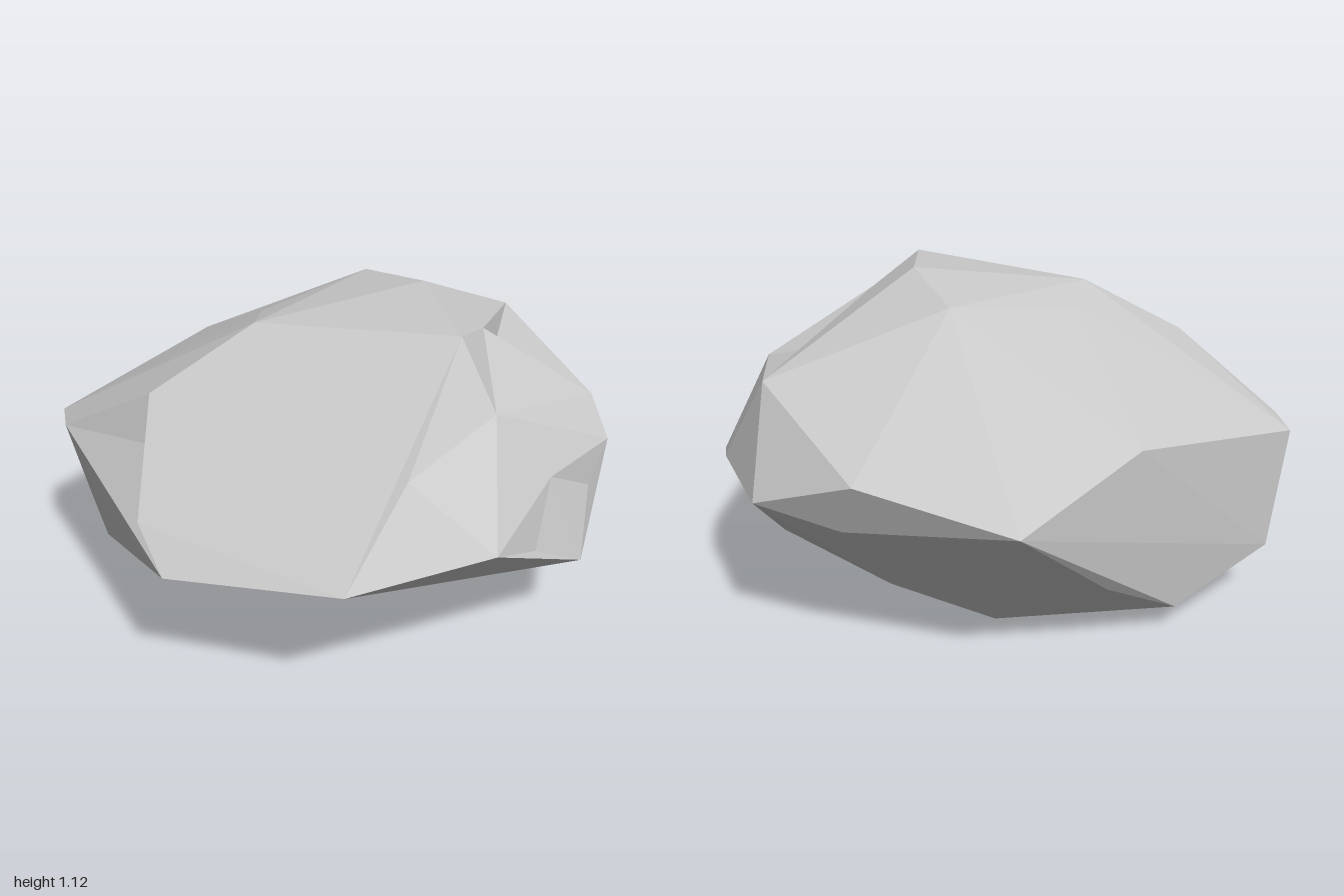
import * as THREE from 'three';
import { ConvexGeometry } from 'three/addons/geometries/ConvexGeometry.js';

const v = (x, y, z) => new THREE.Vector3(x, y, z);

// Outer corners that border the chipped areas
const frontPeak = v(0.33, 1.09, 0.43), leftPeak = v(-0.3, 1.05, 0.12);
const rightPeak = v(0.47, 1.01, 0.17), rightBack = v(0.74, 0.85, -0.48);
const rightFront = v(0.88, 0.74, 0.17), rightEdge = v(0.91, 0.62, 0.29);
const noseLeft = v(-0.12, 0.54, 1), noseTop = v(0.15, 0.65, 0.99), noseRight = v(0.35, 0.58, 0.91);
const cheek = v(0.76, 0.29, 0.54), heel = v(0.8, 0.18, 0.28), chin = v(0.1, 0.27, 0.58);
const leftTop = v(-0.66, 0.85, 0.2), leftEdge = v(-0.98, 0.62, -0.07);
const leftFront = v(-0.71, 0.58, 0.57), leftNose = v(-0.64, 0.48, 0.74);

const outerCorners = [
  frontPeak, leftPeak, rightPeak, rightBack, rightFront, rightEdge, noseLeft, noseTop,
  noseRight, cheek, heel, chin, leftTop, leftEdge, leftFront, leftNose,
  // crown
  v(0.3, 1.12, -0.02), v(0.15, 1.06, -0.35), v(-0.26, 1, -0.12),
  // girdle
  v(1, 0.46, -0.08), v(0.92, 0.54, -0.35), v(0.74, 0.53, -0.71), v(0.4, 0.66, -0.88),
  v(-0.09, 0.56, -1), v(-0.45, 0.72, -0.71), v(-1, 0.61, -0.23),
  // underside
  v(0.78, 0.18, -0.18), v(0.8, 0.36, -0.35), v(0.34, 0.18, -0.57), v(0.45, 0.48, -0.8),
  v(0, 0.02, -0.51), v(-0.07, 0, 0.15), v(-0.6, 0.09, -0.53), v(-0.36, 0.25, -0.71),
  v(-0.57, 0.13, 0.18), v(-0.94, 0.2, -0.28), v(-0.86, 0.23, 0.06), v(-0.85, 0.43, 0.2),
  v(-0.31, 0.29, 0.57),
];

// Inner corners of the chips
const brow = v(0.1, 0.78, 0.78), hollow = v(0.43, 0.86, 0.53), ledge = v(0.63, 0.62, 0.53);
const lip = v(0.54, 0.45, 0.7), nick = v(0.83, 0.48, 0.36);
const notch = v(0.55, 0.83, 0.02), leftChip = v(-0.58, 0.74, 0.41);

// Each chip replaces the faces lying between the listed corners
const chips = [
  [brow, [frontPeak, noseTop, noseRight, noseLeft]],
  [hollow, [frontPeak, rightPeak, rightFront, rightEdge, noseRight, brow]],
  [ledge, [hollow, rightEdge, noseRight, cheek]],
  [lip, [ledge, noseRight, cheek, chin]],
  [nick, [ledge, rightEdge, cheek, heel]],
  [notch, [rightPeak, rightFront, rightBack]],
  [leftChip, [leftTop, leftEdge, leftFront, leftNose, leftPeak]],
];

const key = (p) => p.toArray().map((n) => n.toFixed(2)).join();

// Remove the patch of faces between the corners and fan its rim to the inner corner
function carve(faces, inner, corners) {
  const keys = new Set(corners.map(key));
  const inPatch = (face) => face.every((p) => keys.has(key(p)));
  const edges = faces.filter(inPatch).flatMap(([a, b, c]) => [[a, b], [b, c], [c, a]]);
  const directed = new Set(edges.map(([a, b]) => key(a) + '>' + key(b)));
  const rim = edges.filter(([a, b]) => !directed.has(key(b) + '>' + key(a)));
  return [...faces.filter((f) => !inPatch(f)), ...rim.map(([a, b]) => [a, b, inner])];
}

export function createModel() {
  const group = new THREE.Group();
  group.name = 'boulder';

  const pos = new ConvexGeometry(outerCorners).attributes.position;
  let faces = [];
  for (let i = 0; i < pos.count; i += 3) {
    faces.push([0, 1, 2].map((k) => new THREE.Vector3().fromBufferAttribute(pos, i + k)));
  }
  for (const [inner, corners] of chips) faces = carve(faces, inner, corners);

  // Separate corners per face keep every facet flat
  const geometry = new THREE.BufferGeometry().setFromPoints(faces.flat());
  geometry.computeVertexNormals();

  const stone = new THREE.MeshStandardMaterial({ color: 0xc9c9c9, flatShading: true });
  stone.name = 'light grey stone';
  const rock = new THREE.Mesh(geometry, stone);
  rock.name = 'rock';
  group.add(rock);
  return group;
}
